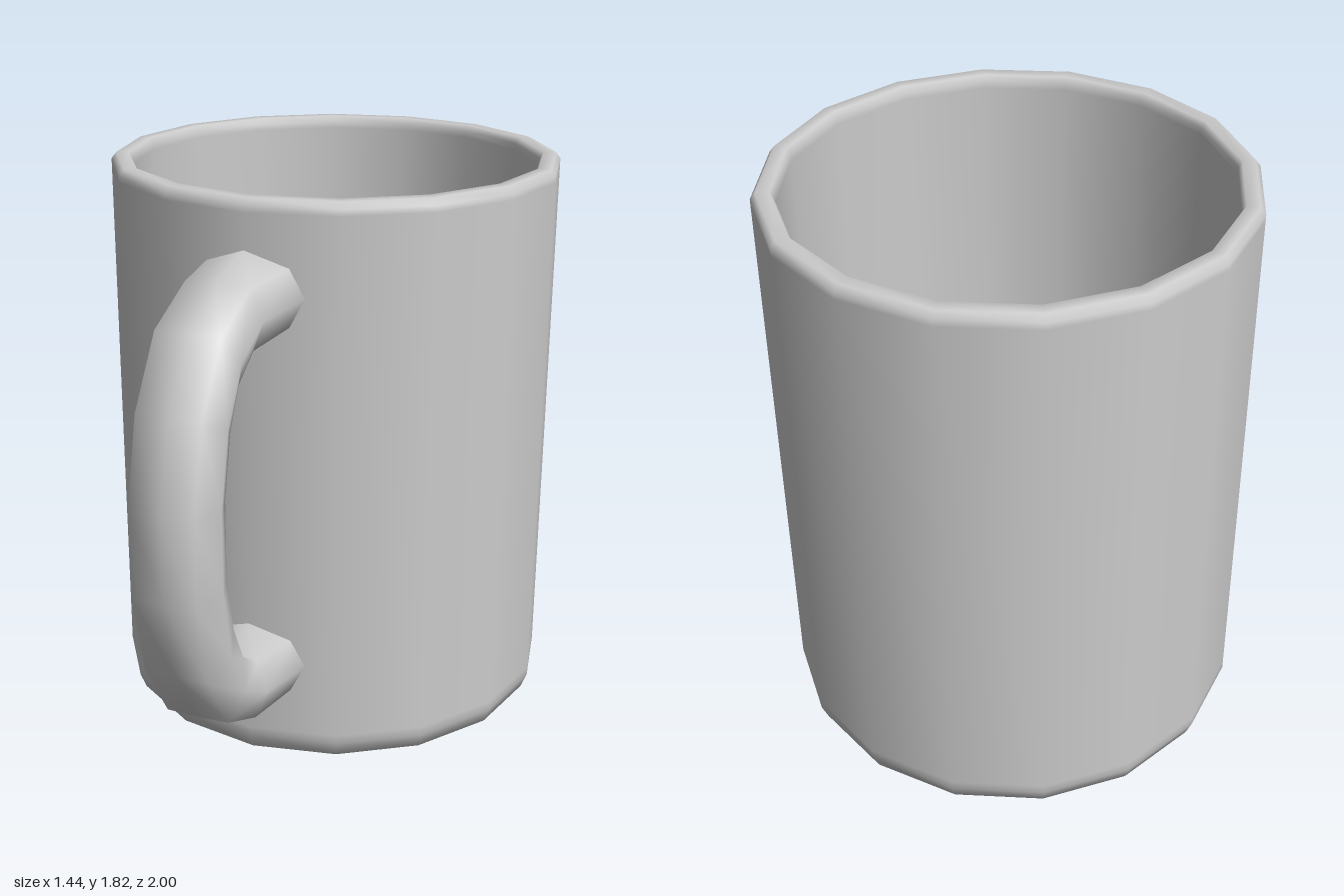
import * as THREE from 'three';

const material = new THREE.MeshStandardMaterial({ color: 0xcccccc });

// Hollow 16-sided cup: outer wall, rounded rim, inner wall and floor
function createCup() {
  const profile = [
    [0, 0], [0.62, 0], [0.65, 0], [0.7, 0.02], [0.72, 0.07], [0.72, 0.1],
    [0.72, 1.78], [0.72, 1.8], [0.705, 1.82], [0.665, 1.82], [0.655, 1.8],
    [0.655, 1.78], [0.655, 0.14], [0.64, 0.1], [0.6, 0.08], [0, 0.08],
  ].map(([r, y]) => new THREE.Vector2(r, y));
  const cup = new THREE.Mesh(new THREE.LatheGeometry(profile, 16), material);
  cup.name = 'cup';
  cup.position.z = -0.28;
  return cup;
}

// Eight-sided handle swept through rings, flared where it meets the cup
function createHandle() {
  const midY = 0.937;
  // Upper half: outer z, outer y, inner z, inner y, half width, corner width, corner height
  const upper = [
    [0.44, 1.67, 0.44, 1.4, 0.175, 0.13, 0.65],
    [0.62, 1.625, 0.6, 1.42, 0.137, 0.1, 0.9],
    [0.81, 1.53, 0.7, 1.36, 0.135, 0.1, 0.97],
    [0.94, 1.33, 0.76, 1.24, 0.135, 0.1, 0.97],
    [1.0, 1.07, 0.8, 1.055, 0.135, 0.1, 0.97],
  ];
  const lower = upper.map(([oz, oy, iz, iy, ...rest]) =>
    [oz, 2 * midY - oy, iz, 2 * midY - iy, ...rest]).reverse();
  const rings = [...upper, ...lower];
  const positions = [], indices = [];

  rings.forEach(([oz, oy, iz, iy, w, cw, k], i) => {
    const section = [[w, 0], [cw, k], [0, 1], [-cw, k], [-w, 0], [-cw, -k], [0, -1], [-cw * -1, -k]];
    const atWall = i === 0 || i === rings.length - 1;
    for (const [x, t] of section) {
      const f = (t + 1) / 2;
      // End rings follow the facets of the cup wall
      const z = iz + (oz - iz) * f - (atWall ? 0.2 * Math.abs(x) : 0);
      positions.push(x, iy + (oy - iy) * f, z);
    }
  });
  for (let i = 0; i < rings.length - 1; i++) {
    for (let j = 0; j < 8; j++) {
      const a = i * 8 + j, b = i * 8 + (j + 1) % 8;
      indices.push(a, b, a + 8, b, b + 8, a + 8);
    }
  }
  const geometry = new THREE.BufferGeometry();
  geometry.setAttribute('position', new THREE.Float32BufferAttribute(positions, 3));
  geometry.setIndex(indices);
  geometry.computeVertexNormals();
  const handle = new THREE.Mesh(geometry, material);
  handle.name = 'handle';
  return handle;
}

export function createModel() {
  const mug = new THREE.Group();
  mug.name = 'mug';
  mug.add(createCup(), createHandle());
  return mug;
}
